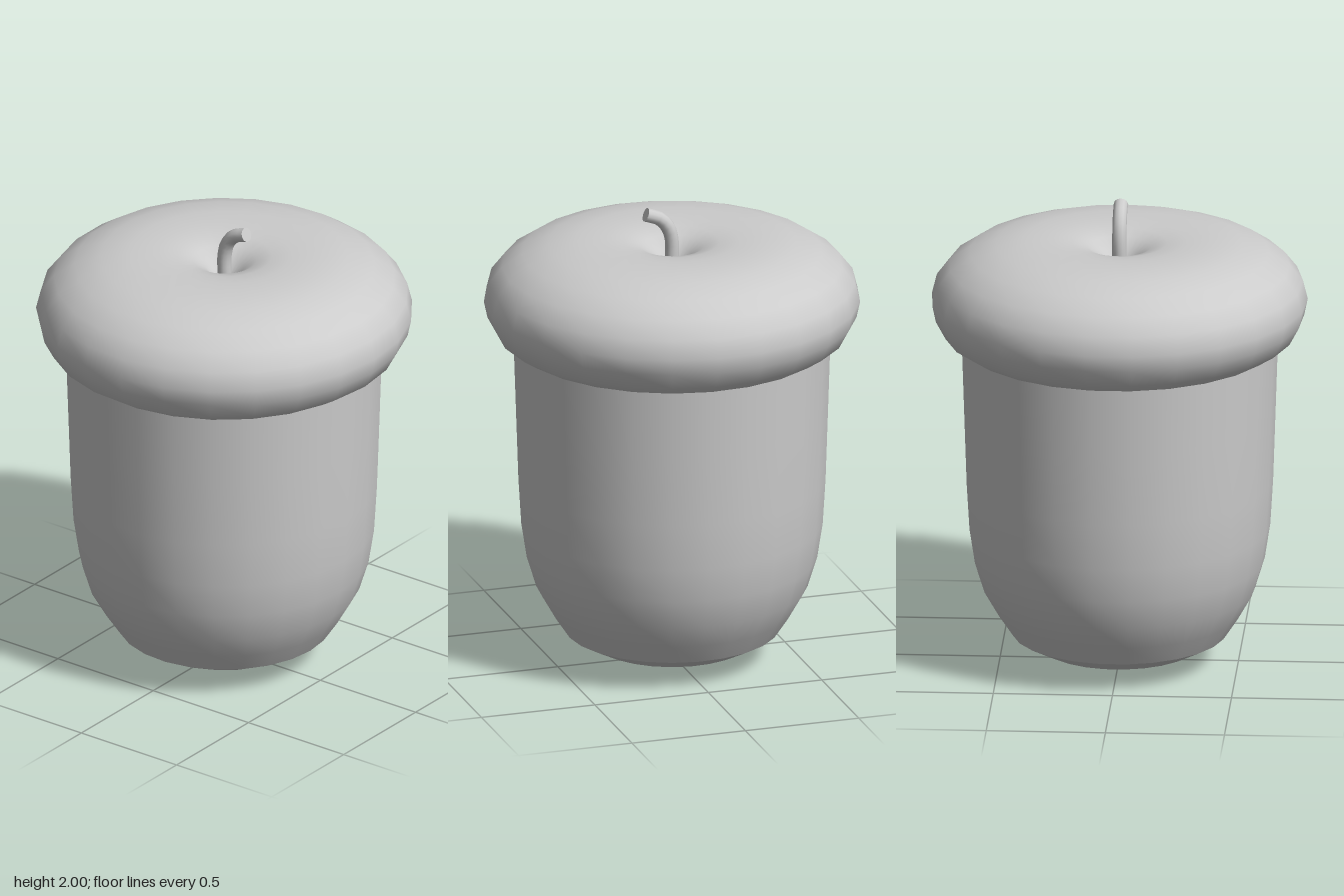
import * as THREE from 'three';

const SIDES = 25;
const material = new THREE.MeshStandardMaterial({ color: 0xcccccc });

// Smooth turned surface from [radius, height] points, listed bottom to top
function turned(name, profile) {
  const points = profile.map(([r, y]) => new THREE.Vector2(r, y));
  const mesh = new THREE.Mesh(new THREE.LatheGeometry(points, SIDES, Math.PI / 2), material);
  mesh.name = name;
  return mesh;
}

// Curved stalk with a flat cut end
function createStem() {
  const radius = 0.03;
  const path = new THREE.CatmullRomCurve3([
    [0, 1.68], [0, 1.76], [0, 1.84], [0.015, 1.9], [0.052, 1.946], [0.115, 1.971],
  ].map(([x, y]) => new THREE.Vector3(x, y, 0)));
  const stem = new THREE.Group();
  stem.name = 'stem';
  const stalk = new THREE.Mesh(new THREE.TubeGeometry(path, 12, radius, 12), material);
  stalk.name = 'stalk';
  const cut = new THREE.Mesh(new THREE.CircleGeometry(radius, 12), material);
  cut.name = 'stemEnd';
  cut.position.copy(path.getPoint(1));
  cut.quaternion.setFromUnitVectors(new THREE.Vector3(0, 0, 1), path.getTangent(1));
  stem.add(stalk, cut);
  return stem;
}

export function createModel() {
  const acorn = new THREE.Group();
  acorn.name = 'acorn';

  // Rounded underside, creased where it meets the shell
  acorn.add(turned('nutBottom', [
    [0, 0.003], [0.1, 0.01], [0.2, 0.022], [0.33, 0.063], [0.45, 0.125],
  ]));

  // Nut shell, widening up to the cap
  acorn.add(turned('nutShell', [
    [0.45, 0.125], [0.51, 0.215], [0.57, 0.32], [0.61, 0.45], [0.633, 0.6],
    [0.645, 0.8], [0.655, 1.1], [0.665, 1.405],
  ]));

  // Cap: a swollen ring with a dimple for the stem
  acorn.add(turned('cap', [
    [0.665, 1.4], [0.735, 1.445], [0.775, 1.52], [0.79, 1.59], [0.77, 1.67],
    [0.715, 1.74], [0.63, 1.797], [0.52, 1.835], [0.4, 1.85], [0.28, 1.848],
    [0.2, 1.84], [0.135, 1.822], [0.08, 1.785], [0.035, 1.735], [0, 1.7],
  ]));

  acorn.add(createStem());
  acorn.children.forEach((part) => { part.position.x = -0.003; });
  return acorn;
}
